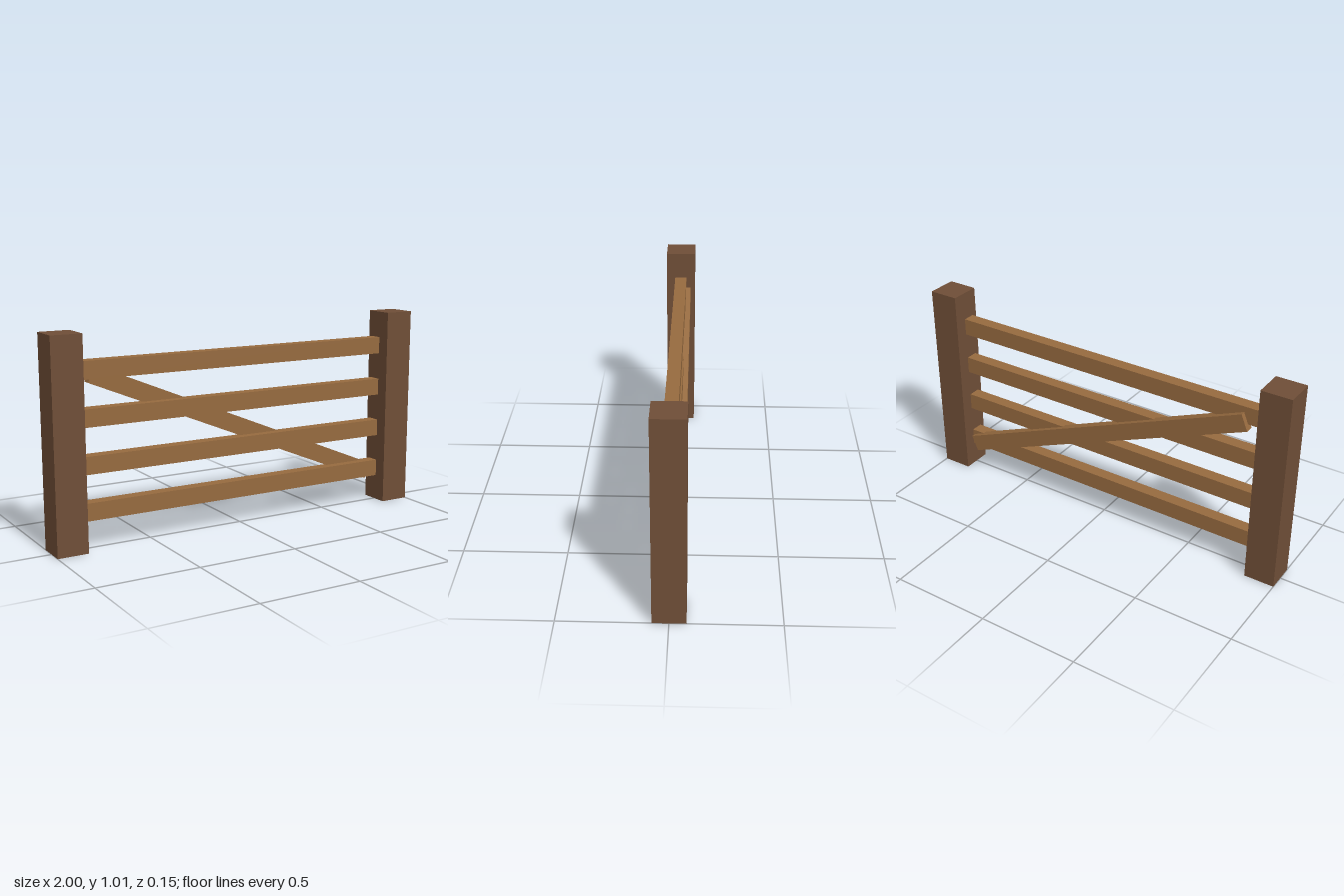
import * as THREE from 'three';

export function createModel() {
  const group = new THREE.Group();
  group.name = 'fieldGate';

  const postWood = new THREE.MeshStandardMaterial({ color: 0x6f4e37 });
  postWood.name = 'dark post wood';
  const railWood = new THREE.MeshStandardMaterial({ color: 0x966a3f });
  railWood.name = 'light rail wood';

  function beam(name, size, position, material) {
    const mesh = new THREE.Mesh(new THREE.BoxGeometry(...size), material);
    mesh.name = name;
    mesh.position.set(...position);
    group.add(mesh);
    return mesh;
  }

  // Upright posts
  for (const [name, side] of [['leftPost', 1], ['rightPost', -1]]) {
    beam(name, [0.152, 1.013, 0.152], [side * 0.924, 0.5065, 0], postWood);
  }

  // Four horizontal rails
  for (let i = 0; i < 4; i++) {
    beam(`rail${i + 1}`, [1.664, 0.085, 0.061], [0, 0.18 + i * 0.22, 0], railWood);
  }

  // Diagonal brace let into the back of the rails
  const brace = beam('diagonalBrace', [1.711, 0.086, 0.044], [0.014, 0.486, -0.033], railWood);
  brace.rotation.z = -0.394;

  return group;
}
